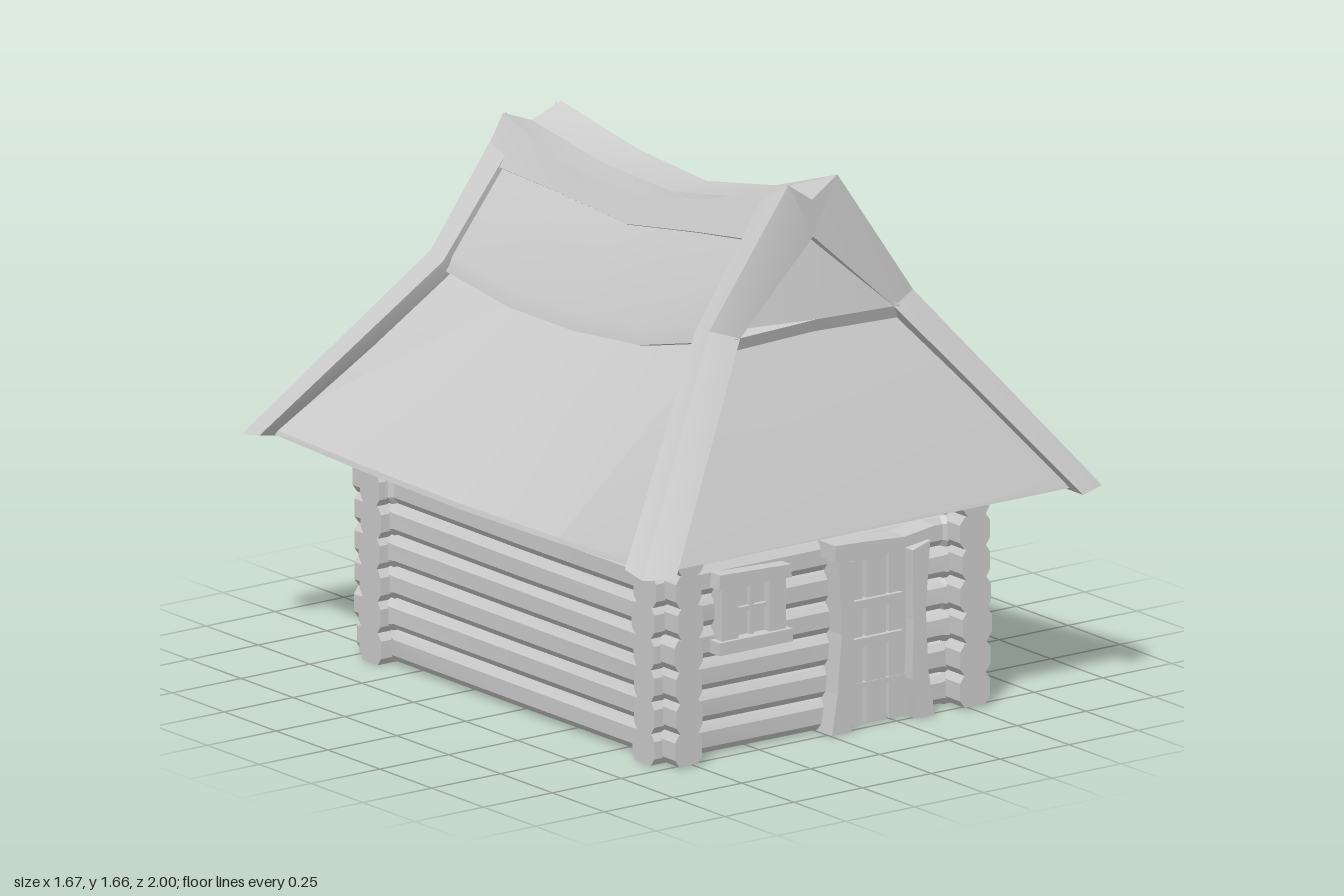
import * as THREE from 'three';
import { toCreasedNormals } from 'three/addons/utils/BufferGeometryUtils.js';

const material = new THREE.MeshStandardMaterial({ color: 0xcccccc });

// Closed solid through equal-sized loops of [x, y, z] points, with fan caps.
function loft(sections) {
  const n = sections[0].length, last = (sections.length - 1) * n;
  const pts = sections.flat();
  let tris = [];
  for (let s = 0; s < last; s += n) {
    for (let i = 0; i < n; i++) {
      const j = (i + 1) % n;
      tris.push([s + i, s + j, s + n + j], [s + i, s + n + j, s + n + i]);
    }
  }
  for (let i = 1; i < n - 1; i++) tris.push([0, i + 1, i], [last, last + i, last + i + 1]);
  // Turn the solid outward if its signed volume is negative
  let volume = 0;
  const [a, b, c] = [0, 1, 2].map(() => new THREE.Vector3());
  for (const t of tris) {
    volume += a.fromArray(pts[t[0]]).dot(b.fromArray(pts[t[1]]).cross(c.fromArray(pts[t[2]])));
  }
  if (volume < 0) tris = tris.map(([p, q, r]) => [p, r, q]);
  const geo = new THREE.BufferGeometry();
  geo.setAttribute('position', new THREE.Float32BufferAttribute(pts.flat(), 3));
  geo.setIndex(tris.flat());
  return toCreasedNormals(geo, 0.4);
}

function add(parent, name, geo, x = 0, y = 0, z = 0) {
  const mesh = new THREE.Mesh(geo, material);
  mesh.name = name;
  mesh.position.set(x, y, z);
  parent.add(mesh);
  return mesh;
}

function box(parent, name, x0, x1, y0, y1, z0, z1) {
  return add(parent, name, new THREE.BoxGeometry(x1 - x0, y1 - y0, z1 - z0),
    (x0 + x1) / 2, (y0 + y1) / 2, (z0 + z1) / 2);
}

function plate(parent, name, outline, depth, z) {
  const shape = new THREE.Shape(outline.map(([x, y]) => new THREE.Vector2(x, y)));
  return add(parent, name, new THREE.ExtrudeGeometry(shape, { depth, bevelEnabled: false }), 0, 0, z);
}

let seed = 7;
const jitter = (amount) => {
  seed = (seed * 16807) % 2147483647;
  return (seed / 2147483647 - 0.5) * 2 * amount;
};

// Chamfered log along z: slim between the corners, full-sized at its ends.
function logGeometry(half, corner) {
  const ring = (z, w, h, dx) => [[1, 0.55], [0.7, 1], [-0.7, 1], [-1, 0.55], [-1, -0.55], [-0.7, -1], [0.7, -1], [1, -0.55]]
    .map(([x, y]) => [x * w + dx, y * h, z]);
  const end = () => [0.051 + jitter(0.005), 0.048, jitter(0.006)];
  const e1 = end(), e2 = end();
  return loft([
    ring(-half, ...e1), ring(-corner + 0.055, ...e1), ring(-corner + 0.07, 0.046, 0.043, 0),
    ring(0, 0.048, 0.044, jitter(0.003)),
    ring(corner - 0.07, 0.046, 0.043, 0), ring(corner - 0.055, ...e2), ring(half, ...e2),
  ]);
}

function buildWalls() {
  const walls = new THREE.Group();
  walls.name = 'logWalls';
  for (let i = 0; i < 7; i++) {
    const y = 0.048 + i * 0.0955;
    for (const s of [-1, 1]) {
      add(walls, 'sideLog', logGeometry(0.775, 0.66), s * 0.52, y + 0.006, 0);
      add(walls, 'endLog', logGeometry(0.6, 0.52), 0, y, s * 0.66).rotation.y = Math.PI / 2;
    }
  }
  return walls;
}

function buildRoof() {
  const roof = new THREE.Group();
  roof.name = 'roof';
  // Sagging stations from back to front
  const stations = [
    { z: -1, crest: [0.105, 1.57], valley: 1.53, cap: [0.18, 1.44], edge: 1.15, eave: 0.665 },
    { z: -0.5, crest: [0.135, 1.495], valley: 1.48, cap: [0.165, 1.42], edge: 1.11, eave: 0.65 },
    { z: 0, crest: [0.125, 1.48], valley: 1.47, cap: [0.165, 1.4], edge: 1.11, eave: 0.643 },
    { z: 0.5, crest: [0.12, 1.545], valley: 1.53, cap: [0.17, 1.455], edge: 1.14, eave: 0.65 },
    { z: 1, crest: [0.09, 1.66], valley: 1.6, cap: [0.18, 1.505], edge: 1.22, eave: 0.665 },
  ];

  // Lower hipped thatch
  add(roof, 'lowerThatch', loft(stations.map(({ z, edge, eave }) => [
    [-0.77, eave, z * 0.945], [-0.765, eave + 0.015, z * 0.94], [-0.315, edge + 0.02, z * 0.655],
    [0.315, edge + 0.02, z * 0.655], [0.765, eave + 0.015, z * 0.94], [0.77, eave, z * 0.945],
  ])));

  // Upper thatch, overlapping the lower one
  add(roof, 'upperThatch', loft(stations.map(({ z, cap, edge }) => {
    const half = [[0.155, cap[1] + 0.005], [0.34, edge + 0.05], [0.357, edge], [0.32, edge - 0.01]];
    const left = half.map(([x, y]) => [-x, y]).reverse();
    return [[0, cap[1] + 0.03], ...half, ...left].map(([x, y]) => [x, y, z * 0.63]);
  })));

  // Paired ridge rolls with a trough between them
  for (const s of [-1, 1]) {
    add(roof, 'ridgeCap', loft(stations.map(({ z, crest, valley, cap }) => [
      [0, valley], crest, cap, [cap[0] - 0.025, cap[1] - 0.015], [0, cap[1] - 0.02],
    ].map(([x, y]) => [s * x, y, z * 0.675]))));
  }

  for (const f of [1, -1]) {
    const back = f < 0 ? 1 : 0;
    // Gable panel with a flared lip
    const gable = (x, top, drop) => [[top, 0.655], [1.245 - drop, 0.7], [1.205 - drop, 0.685], [1.2 - drop, 0.6], [top, 0.6]]
      .map(([y, z]) => [x, y - back * 0.06, f * z]);
    add(roof, 'gable', loft([gable(-0.3, 1.25, 0.01), gable(0, 1.51, 0), gable(0.3, 1.25, 0.01)]));

    // Kinked verge beams running from the ridge to the eave corners
    for (const s of [-1, 1]) {
      const t = back * 0.09, m = back * 0.06;
      const beam = [
        [[0.125, 1.6 - t, 0.595], [0.09, 1.66 - t, 0.68], [0, 1.49 - t, 0.68], [0, 1.46 - t, 0.6]],
        [[0.375, 1.245 - m, 0.605], [0.37, 1.265 - m, 0.67], [0.28, 1.235 - m, 0.7], [0.3, 1.18 - m, 0.62]],
        [[0.835, 0.675, 0.88], [0.835, 0.66, 0.965], [0.74, 0.655, 1], [0.74, 0.655, 0.9]],
      ];
      add(roof, 'vergeBeam', loft(beam.map((sec) => sec.map(([x, y, z]) => [s * x, y, f * z]))));
    }
  }
  return roof;
}

function buildDoor() {
  const door = new THREE.Group();
  door.name = 'door';
  // Crooked posts and lintel
  plate(door, 'leftPost', [[0.005, 0], [0.075, 0], [0.085, 0.15], [0.082, 0.36], [0.092, 0.51], [0.03, 0.53], [0.04, 0.3], [0.025, 0.12]], 0.075, 0.69);
  plate(door, 'rightPost', [[0.31, 0], [0.378, 0], [0.355, 0.14], [0.345, 0.33], [0.362, 0.53], [0.298, 0.51], [0.302, 0.3], [0.296, 0.12]], 0.075, 0.69);
  plate(door, 'lintel', [[0.01, 0.525], [0.13, 0.515], [0.25, 0.525], [0.36, 0.54], [0.37, 0.575], [0.26, 0.56], [0.12, 0.57], [0.01, 0.575]], 0.085, 0.69);
  // Planks and battens
  for (const [x0, x1, top] of [[0.08, 0.143, 0.52], [0.157, 0.228, 0.505], [0.24, 0.305, 0.515]]) {
    box(door, 'plank', x0, x1, 0.005, top, 0.69, 0.728);
  }
  for (const y of [0.255, 0.37]) box(door, 'batten', 0.08, 0.28, y - 0.013, y + 0.013, 0.69, 0.742);
  box(door, 'bottomRail', 0.08, 0.3, 0.115, 0.13, 0.69, 0.73);
  return door;
}

function buildWindow() {
  const win = new THREE.Group();
  win.name = 'window';
  plate(win, 'lintel', [[-0.395, 0.505], [-0.13, 0.5], [-0.132, 0.54], [-0.26, 0.545], [-0.39, 0.55]], 0.06, 0.69);
  box(win, 'sill', -0.395, -0.13, 0.308, 0.347, 0.69, 0.755);
  box(win, 'leftJamb', -0.205, -0.145, 0.345, 0.505, 0.69, 0.742);
  box(win, 'rightJamb', -0.378, -0.318, 0.345, 0.505, 0.69, 0.742);
  // Pane with crossed bars
  box(win, 'pane', -0.32, -0.2, 0.345, 0.505, 0.69, 0.716);
  box(win, 'upright', -0.267, -0.253, 0.345, 0.505, 0.69, 0.73);
  box(win, 'crossBar', -0.32, -0.2, 0.42, 0.434, 0.69, 0.73);
  return win;
}

export function createModel() {
  const model = new THREE.Group();
  model.name = 'logCabin';
  model.add(buildWalls(), buildRoof(), buildDoor(), buildWindow());
  return model;
}
